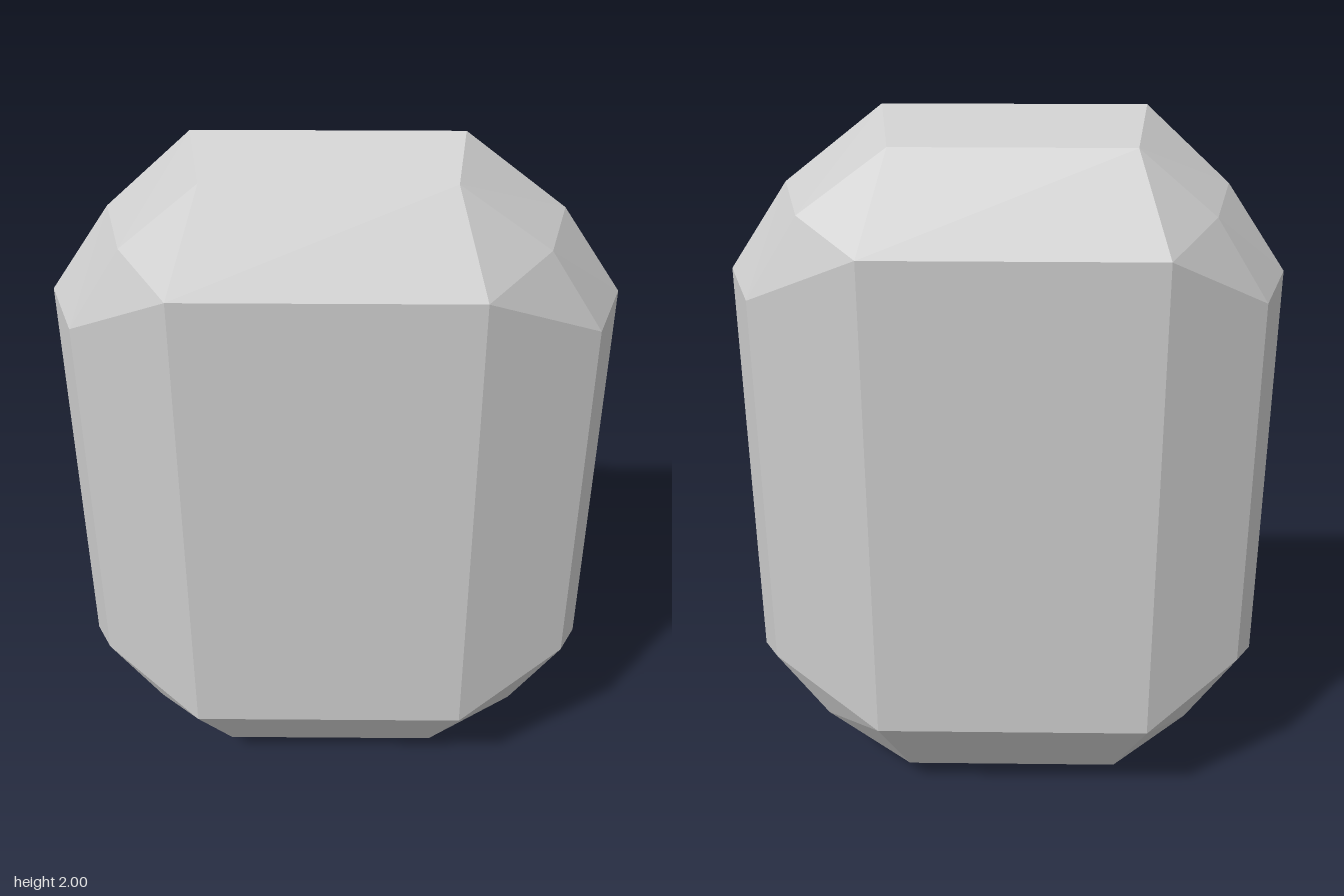
import * as THREE from 'three';

// Corner profiles as [right x, left x, lower y, upper y]: side, bevel middle, end
const girdle = [[0.71, -0.715, 0.415, 1.575], [0.555, -0.558, 0.2, 1.805], [0.305, -0.345, 0, 2]];
const shoulder = [[0.655, -0.66, 0.457, 1.533], [0.515, -0.52, 0.26, 1.755], [0.285, -0.32, 0.077, 1.925]];
const table = Array(3).fill([0.358, -0.4, 0.3, 1.687]);

// Closed 12-point loop, counter-clockwise seen from the front
function ring(profile, z) {
  const corner = (xi, yi) => profile.map((p) => [p[xi], p[yi], z]);
  return [
    ...corner(0, 3),
    ...corner(1, 3).reverse(),
    ...corner(1, 2),
    ...corner(0, 2).reverse(),
  ];
}

export function createModel() {
  const rings = [
    ring(table, -0.27), ring(shoulder, -0.13), ring(girdle, 0),
    ring(shoulder, 0.13), ring(table, 0.267),
  ];
  const pos = [];
  const same = (a, b) => a.every((v, i) => v === b[i]);
  const tri = (a, b, c) => {
    if (!same(a, b) && !same(b, c) && !same(a, c)) pos.push(...a, ...b, ...c);
  };

  // Bevel facets between neighbouring loops
  for (let r = 0; r < rings.length - 1; r++) {
    const lo = rings[r], hi = rings[r + 1];
    for (let i = 0; i < 12; i++) {
      const j = (i + 1) % 12;
      tri(lo[i], lo[j], hi[j]);
      tri(lo[i], hi[j], hi[i]);
    }
  }

  // Flat front and back tables
  const f = rings[4], b = rings[0];
  tri(f[0], f[3], f[6]);
  tri(f[0], f[6], f[9]);
  tri(b[0], b[6], b[3]);
  tri(b[0], b[9], b[6]);

  const geometry = new THREE.BufferGeometry();
  geometry.setAttribute('position', new THREE.Float32BufferAttribute(pos, 3));
  geometry.computeVertexNormals();

  const gem = new THREE.Mesh(geometry, new THREE.MeshStandardMaterial({ color: 0xcccccc, flatShading: true }));
  gem.name = 'gemstone';
  const group = new THREE.Group();
  group.name = 'cutGem';
  group.add(gem);
  return group;
}
